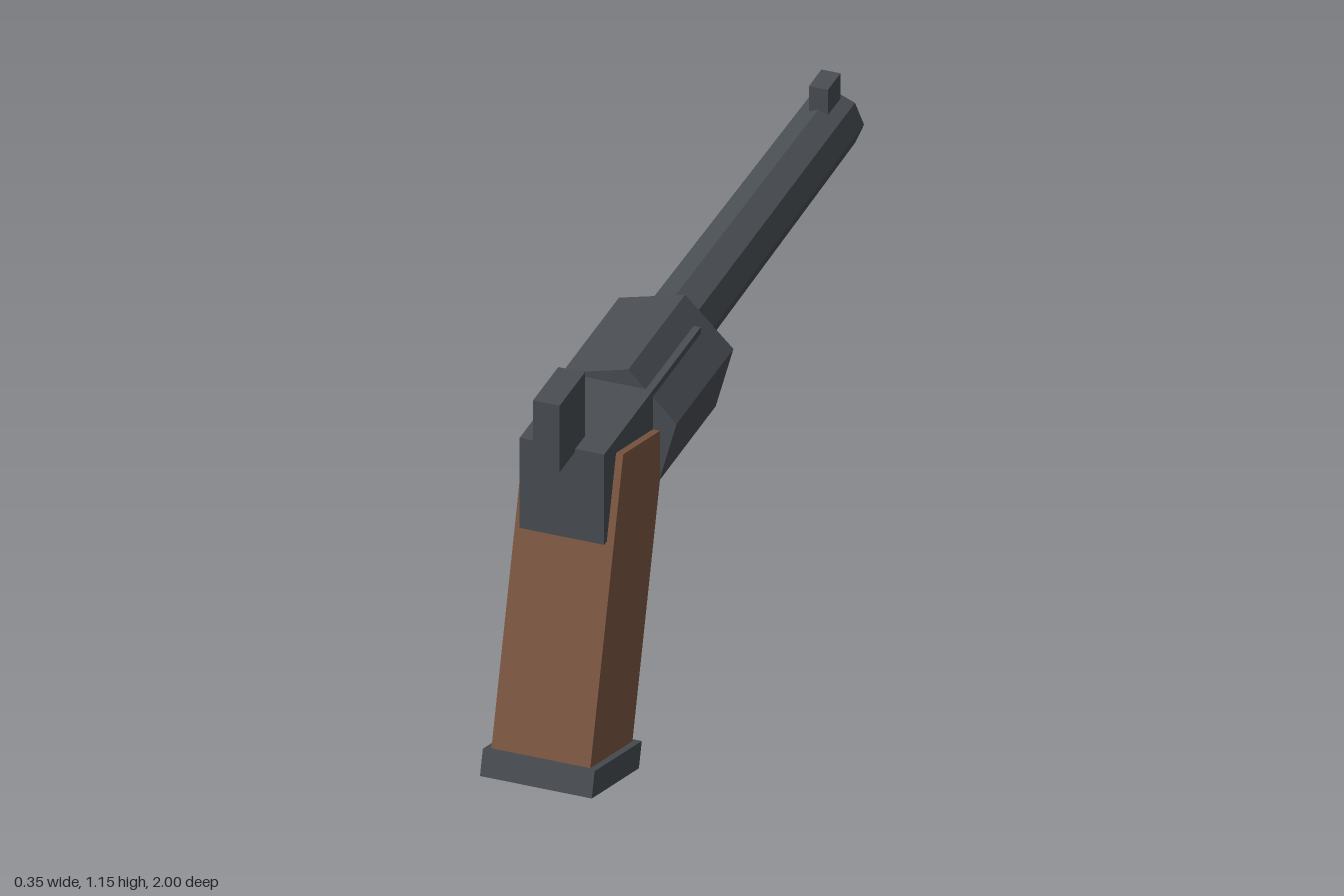
import * as THREE from 'three';

export function createModel() {
  const model = new THREE.Group();
  const steel = new THREE.MeshStandardMaterial({ color: 0x4a4f54, flatShading: true });
  const wood = new THREE.MeshStandardMaterial({ color: 0x7d5842, flatShading: true });

  function add(name, geometry, material, y, z, parent = model) {
    const mesh = new THREE.Mesh(geometry, material);
    mesh.name = name;
    mesh.position.set(0, y, z);
    parent.add(mesh);
    return mesh;
  }

  // Box centred on x, given by its full width and its y and z ranges
  function box(name, width, [y0, y1], [z0, z1]) {
    return add(name, new THREE.BoxGeometry(width, y1 - y0, z1 - z0), steel, (y0 + y1) / 2, (z0 + z1) / 2);
  }

  // Prism lying along z, from z0 (front end) to z1 (back end)
  function prism(name, frontRadius, backRadius, sides, start, y, [z0, z1]) {
    const geometry = new THREE.CylinderGeometry(backRadius, frontRadius, z1 - z0, sides, 1, false, start);
    geometry.rotateX(Math.PI / 2);
    return add(name, geometry, steel, y, (z0 + z1) / 2);
  }

  // Barrel and sight
  prism('barrel', 0.081, 0.089, 8, 0, 0.882, [-1, 0.085]);
  box('frontSight', 0.05, [0.94, 1.025], [-0.985, -0.9]);

  // Turned six-sided cylinder, frame and hammer
  prism('cylinder', 0.18, 0.18, 6, Math.PI / 4, 0.84, [0.116, 0.498]);
  box('frame', 0.222, [0.71, 0.968], [0.175, 0.825]);
  box('hammer', 0.07, [0.96, 1.15], [0.76, 0.93]);

  // Trigger guard
  box('guardFront', 0.04, [0.53, 0.7], [0.258, 0.29]);
  box('guardBottom', 0.04, [0.516, 0.545], [0.275, 0.62]);

  // Slanted grip with its base plate
  const handle = new THREE.Group();
  handle.name = 'handle';
  handle.position.set(0, 0.501, 0.714);
  handle.rotation.x = -0.28;
  model.add(handle);
  add('grip', new THREE.BoxGeometry(0.26, 0.804, 0.295), wood, 0, 0, handle);
  add('basePlate', new THREE.BoxGeometry(0.294, 0.07, 0.33), steel, -0.438, -0.003, handle);

  return model;
}
